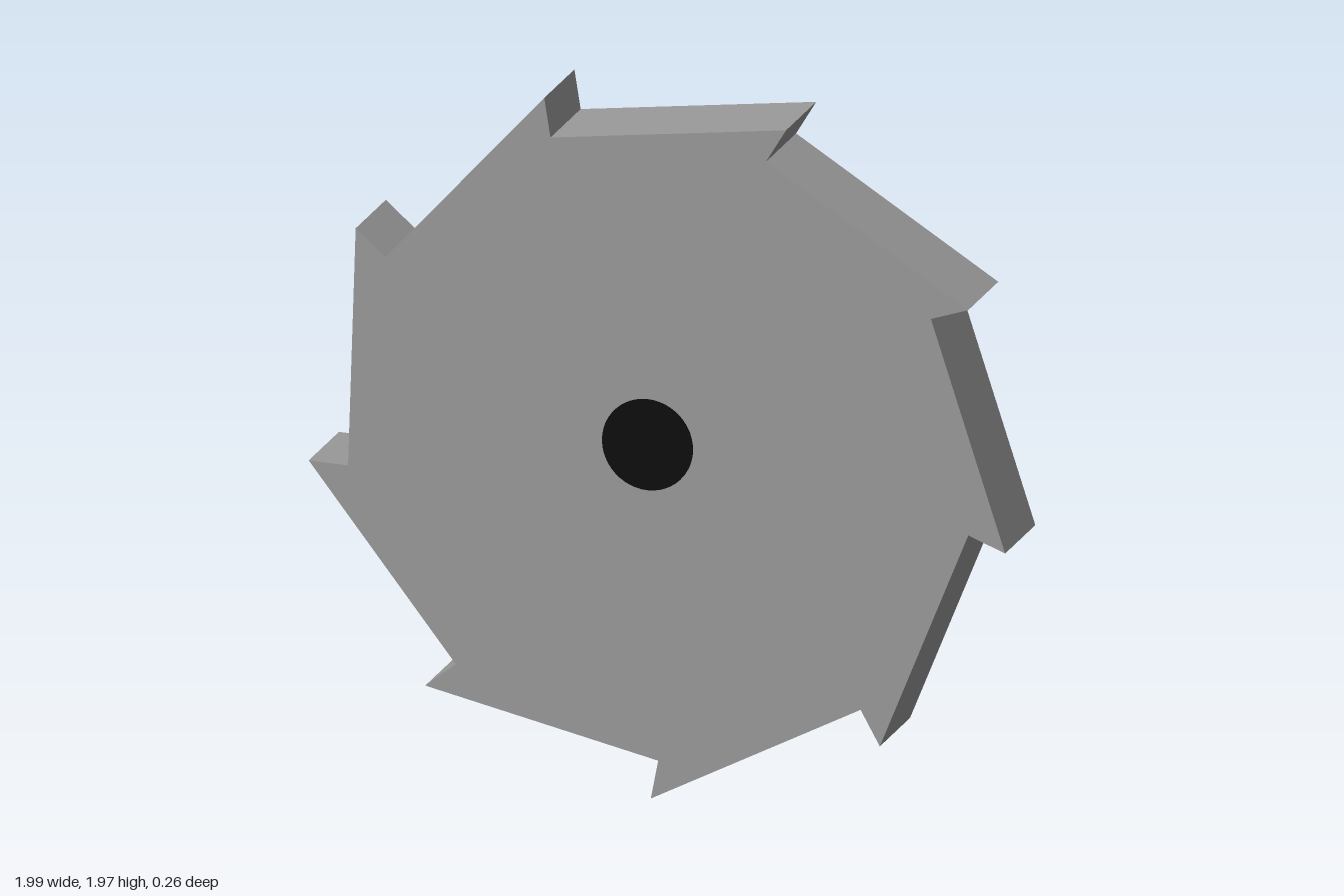
import * as THREE from 'three';

const TEETH = 9;
const CENTRE_Y = 1.02;
const HALF = 0.125;

export function createModel() {
  const group = new THREE.Group();
  const steel = new THREE.MeshStandardMaterial({ color: 0x999999 });
  steel.name = 'grey steel';
  const black = new THREE.MeshStandardMaterial({ color: 0x0a0a0a });
  black.name = 'black';

  // Blade: each tooth rises from a notch to a raked tip, then slopes to the next notch
  const points = [];
  const polar = (r, degrees) => {
    const a = THREE.MathUtils.degToRad(degrees);
    points.push(new THREE.Vector2(r * Math.cos(a), r * Math.sin(a)));
  };
  for (let i = 0; i < TEETH; i++) {
    const angle = -90 + (i * 360) / TEETH;
    polar(0.902, angle);
    polar(1.013, angle - 1.2);
  }
  const bladeGeometry = new THREE.ExtrudeGeometry(new THREE.Shape(points), {
    depth: HALF * 2,
    bevelEnabled: false,
  });
  bladeGeometry.translate(0, CENTRE_Y, -HALF);
  const blade = new THREE.Mesh(bladeGeometry, steel);
  blade.name = 'toothedBlade';
  group.add(blade);

  // Arbor discs: thin black plates, one on each face
  const discGeometry = new THREE.CylinderGeometry(0.13, 0.13, 0.004, 48);
  discGeometry.rotateX(Math.PI / 2);
  const addDisc = (name, x, y, z) => {
    const disc = new THREE.Mesh(discGeometry, black);
    disc.name = name;
    disc.position.set(x, y, z);
    group.add(disc);
  };
  addDisc('frontArborDisc', -0.03, 1.02, HALF + 0.001);
  addDisc('backArborDisc', 0.03, 1.04, -HALF - 0.001);

  return group;
}
